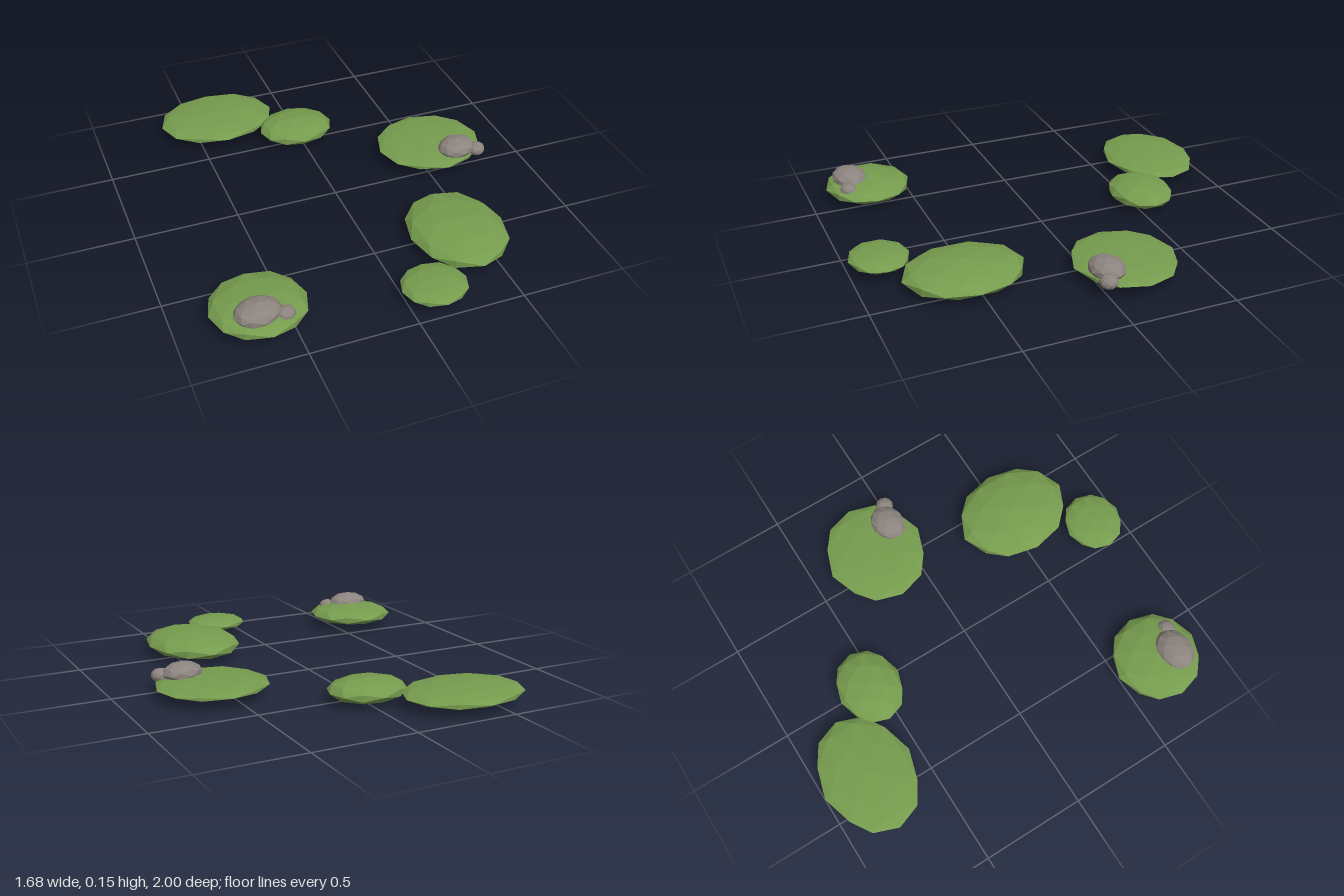
import * as THREE from 'three';

export function createModel() {
  const model = new THREE.Group();
  const leafGreen = new THREE.MeshStandardMaterial({ color: 0x769c4e, flatShading: true });
  leafGreen.name = 'leafGreen';
  const stoneGrey = new THREE.MeshStandardMaterial({ color: 0x8c847e, flatShading: true });
  stoneGrey.name = 'stoneGrey';

  // Every part is a low-poly ball squashed to its three radii
  const ball = new THREE.IcosahedronGeometry(1, 1);
  const add = (name, material, [x, y, z], [rx, ry, rz], turn = 0) => {
    const mesh = new THREE.Mesh(ball, material);
    mesh.name = name;
    mesh.position.set(x, y, z);
    mesh.scale.set(rx, ry, rz);
    mesh.rotation.y = turn;
    model.add(mesh);
  };

  // Flat grassy pads: x, z, then radii
  const pads = [
    [-0.378, -0.773, 0.295, 0.035, 0.227],
    [-0.015, -0.547, 0.19, 0.054, 0.157],
    [0.573, -0.165, 0.266, 0.026, 0.248],
    [0.394, 0.537, 0.23, 0.06, 0.287],
    [0.133, 0.853, 0.153, 0.034, 0.143],
    [-0.623, 0.703, 0.22, 0.05, 0.214],
  ];
  pads.forEach(([x, z, rx, ry, rz], i) =>
    add(`grassPad${i + 1}`, leafGreen, [x, 0.062, z], [rx, ry, rz]));

  // A large stone and a small one on two of the pads
  add('leftStone', stoneGrey, [0.667, 0.092, -0.034], [0.098, 0.051, 0.081], 0.2);
  add('leftPebble', stoneGrey, [0.762, 0.081, 0.002], [0.044, 0.034, 0.043], 0.4);
  add('rightStone', stoneGrey, [-0.65, 0.102, 0.788], [0.108, 0.052, 0.086], 0.1);
  add('rightPebble', stoneGrey, [-0.537, 0.088, 0.822], [0.044, 0.032, 0.04], 0.4);

  return model;
}
